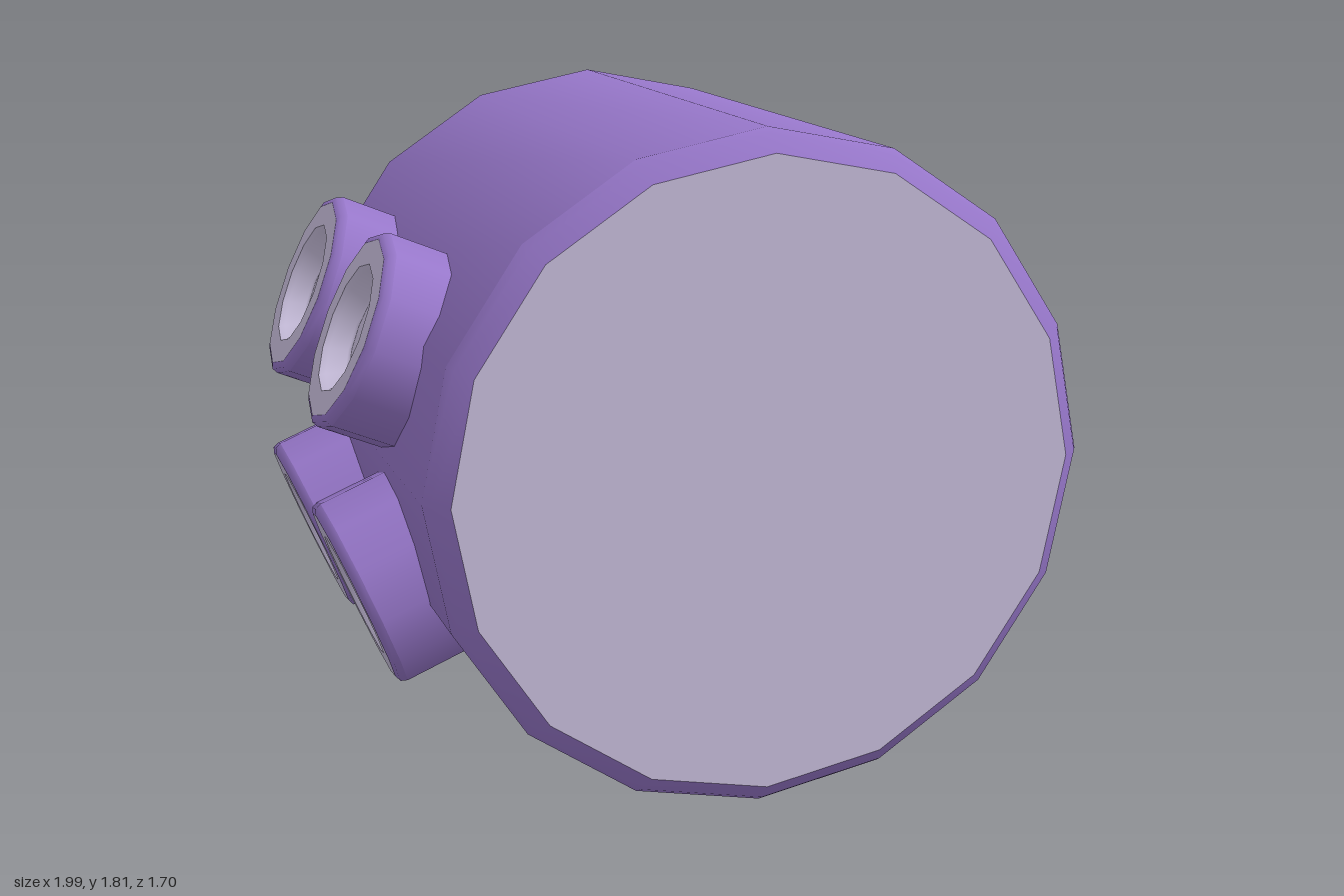
import * as THREE from 'three';

const purple = new THREE.MeshStandardMaterial({ color: 0x9777ca });
purple.name = 'purple';
const pale = new THREE.MeshStandardMaterial({ color: 0xc9bfdd });
pale.name = 'pale lilac';

// Turned surface from [radius, height] pairs, listed from the bottom up
function lathe(name, points, sides, material) {
  const profile = points.map(([r, h]) => new THREE.Vector2(r, h));
  const mesh = new THREE.Mesh(new THREE.LatheGeometry(profile, sides), material);
  mesh.name = name;
  return mesh;
}

// Short pipe with a dished opening; its rim faces local +y at y = 0
function makePort() {
  const port = new THREE.Group();
  port.name = 'port';
  port.add(
    lathe('portWall', [[0.275, -0.36], [0.275, -0.025]], 12, purple),
    lathe('portBevel', [[0.275, -0.025], [0.268, -0.007], [0.25, 0]], 12, purple),
    lathe('portRim', [[0.25, 0], [0.18, 0]], 12, pale),
    lathe('portRecess', [[0.18, 0], [0.168, -0.015], [0.14, -0.06], [0.125, -0.065]], 12, pale),
    lathe('portFloor', [[0.125, -0.065], [0, -0.065]], 12, pale),
  );
  return port;
}

export function createModel() {
  const model = new THREE.Group();
  model.name = 'drumWithPorts';

  // Drum lying along z, with bevelled ends and pale caps
  const drum = new THREE.Group();
  drum.name = 'drum';
  drum.position.set(0.095, 0.912, 0);
  const shell = lathe('drumShell', [[0.905, -0.785], [0.905, 0.785]], 16, purple);
  shell.rotation.x = Math.PI / 2;
  drum.add(shell);
  for (const side of [1, -1]) {
    const bevel = lathe('drumBevel', [[0.905, 0.785], [0.89, 0.81], [0.845, 0.848]], 16, purple);
    bevel.rotation.x = side * Math.PI / 2;
    const cap = new THREE.Mesh(new THREE.CircleGeometry(0.845, 16), pale);
    cap.name = 'drumCap';
    cap.position.z = side * 0.848;
    if (side < 0) cap.rotation.y = Math.PI;
    drum.add(bevel, cap);
  }
  model.add(drum);

  // Two rows of two ports on the model's right side
  for (const [y, tilt] of [[1.265, 67.5], [0.525, 112.5]]) {
    for (const z of [-0.388, 0.278]) {
      const port = makePort();
      port.position.set(-0.893, y, z);
      port.rotation.z = THREE.MathUtils.degToRad(tilt);
      model.add(port);
    }
  }
  return model;
}
